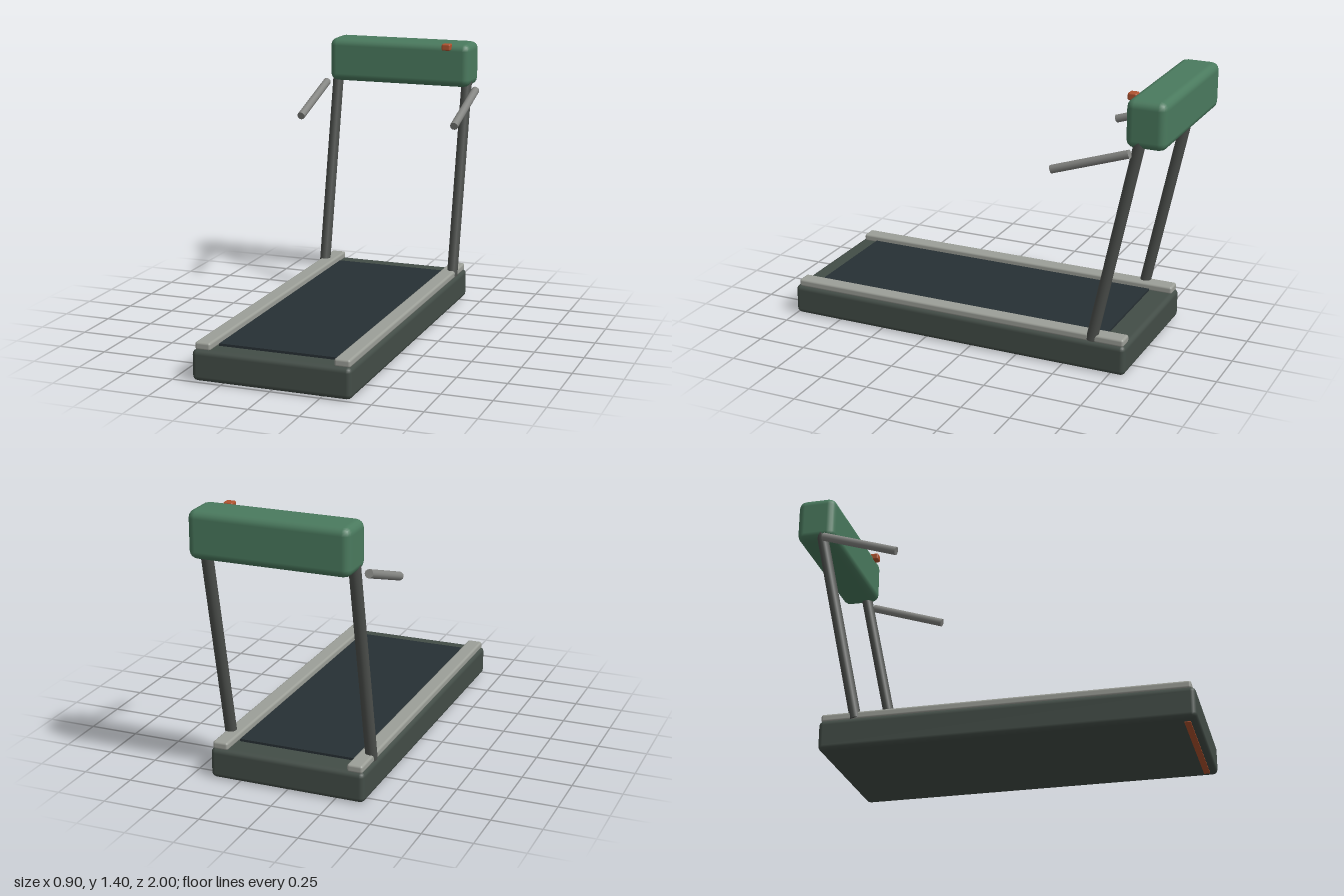
import * as THREE from 'three';
import { RoundedBoxGeometry } from 'three/addons/geometries/RoundedBoxGeometry.js';

const mat = (color) => new THREE.MeshStandardMaterial({ color });
const green = mat(0x4a7a5e), frame = mat(0x434d47), rubber = mat(0x273034);
const rail = mat(0x9c9f98), steel = mat(0x4c4f4c), grip = mat(0x858683), orange = mat(0xb0532f);

export function createModel() {
  const model = new THREE.Group();
  model.name = 'treadmill';

  const add = (name, geometry, material, x, y, z) => {
    const mesh = new THREE.Mesh(geometry, material);
    mesh.name = name;
    mesh.position.set(x, y, z);
    model.add(mesh);
    return mesh;
  };
  const rounded = (name, [w, h, d], radius, material, x, y, z) =>
    add(name, new RoundedBoxGeometry(w, h, d, 2, radius), material, x, y, z);

  // Straight tube between two points
  const tube = (name, from, to, radius, material) => {
    const a = new THREE.Vector3(...from), b = new THREE.Vector3(...to);
    const dir = b.clone().sub(a);
    const mid = a.clone().add(b).multiplyScalar(0.5);
    const mesh = add(name, new THREE.CylinderGeometry(radius, radius, dir.length(), 12), material, mid.x, mid.y, mid.z);
    mesh.quaternion.setFromUnitVectors(new THREE.Vector3(0, 1, 0), dir.normalize());
  };

  // Deck with the running belt
  rounded('deck', [0.8, 0.154, 1.83], 0.025, frame, 0, 0.081, 0.085);
  add('belt', new THREE.BoxGeometry(0.6, 0.02, 1.6), rubber, 0, 0.16, 0.1);
  add('footStrip', new THREE.BoxGeometry(0.7, 0.012, 0.03), orange, 0, 0.006, 0.95);

  // Side rails, uprights and handles, mirrored
  for (const [side, s] of [['left', 1], ['right', -1]]) {
    rounded(side + 'SideRail', [0.08, 0.04, 1.8], 0.012, rail, s * 0.35, 0.172, 0.08);
    tube(side + 'Upright', [s * 0.37, 0.16, -0.65], [s * 0.37, 1.21, -0.872], 0.029, steel);
    tube(side + 'Handle', [s * 0.428, 1.022, -0.452], [s * 0.428, 1.152, -0.84], 0.021, grip);
  }

  // Console and its safety key
  rounded('console', [0.8, 0.235, 0.2], 0.04, green, 0, 1.282, -0.9);
  rounded('safetyKey', [0.048, 0.036, 0.046], 0.008, orange, 0.277, 1.383, -0.797);

  return model;
}
